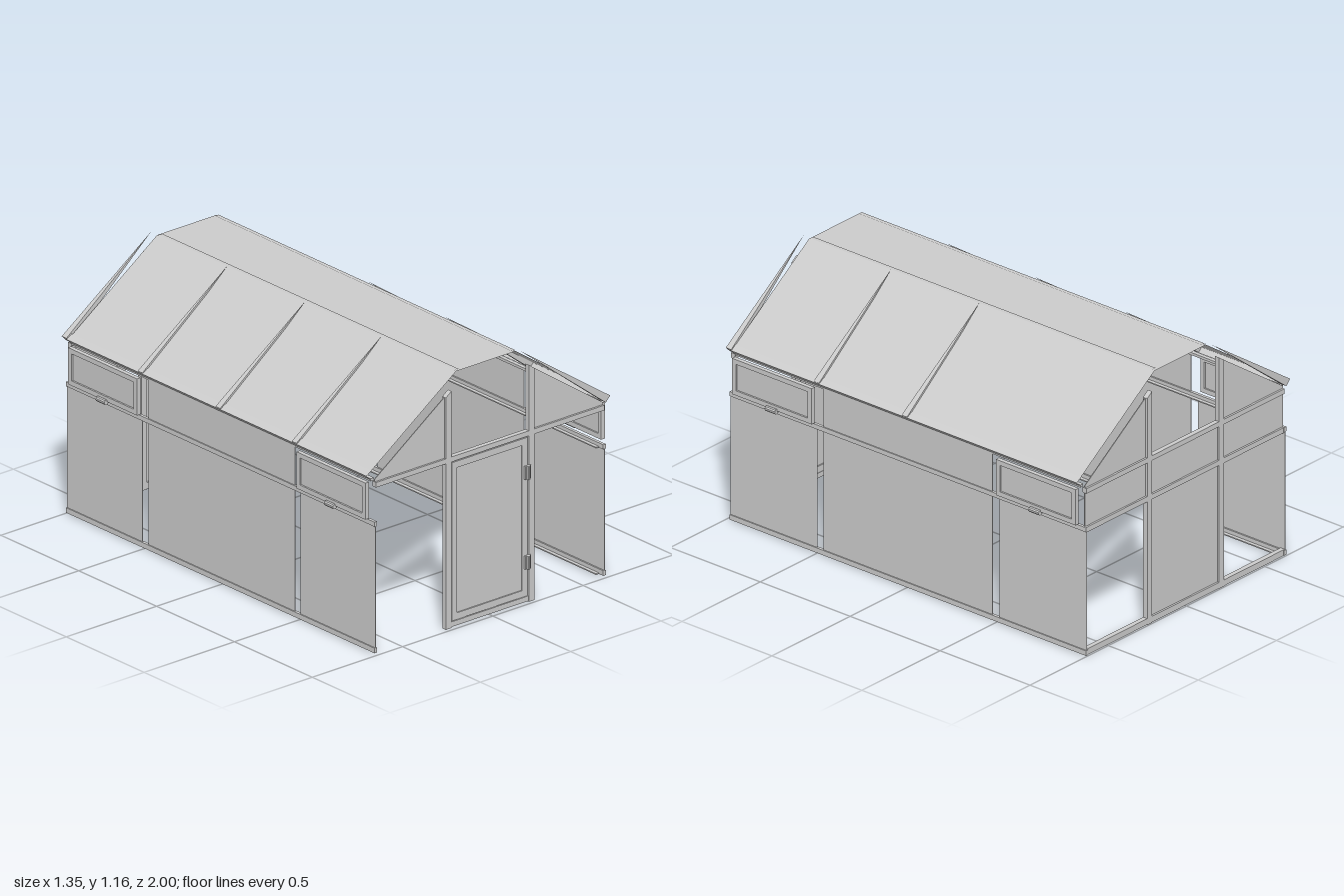
import * as THREE from 'three';

export function createModel() {
  const model = new THREE.Group();
  const mat = new THREE.MeshStandardMaterial({ color: 0xcccccc, flatShading: true, side: THREE.DoubleSide });

  const add = (name, geo, parent = model) => {
    const m = new THREE.Mesh(geo, mat);
    m.name = name;
    parent.add(m);
    return m;
  };
  // Box given by its limits on each axis
  const box = (name, x0, x1, y0, y1, z0, z1, parent) => {
    const g = new THREE.BoxGeometry(Math.abs(x1 - x0), y1 - y0, Math.abs(z1 - z0));
    g.translate((x0 + x1) / 2, (y0 + y1) / 2, (z0 + z1) / 2);
    return add(name, g, parent);
  };
  // Sheet swept along z from an open x,y outline
  const sheet = (name, pts, z0, z1) => {
    const pos = [], idx = [];
    pts.forEach(([x, y], i) => {
      pos.push(x, y, z0, x, y, z1);
      if (i) idx.push(2 * i - 2, 2 * i - 1, 2 * i, 2 * i - 1, 2 * i + 1, 2 * i);
    });
    const g = new THREE.BufferGeometry();
    g.setAttribute('position', new THREE.Float32BufferAttribute(pos, 3));
    g.setIndex(idx);
    g.computeVertexNormals();
    return add(name, g);
  };
  // Flat polygon in the x,y plane
  const plate = (name, pts, z, depth) => {
    const s = new THREE.Shape(pts.map(p => new THREE.Vector2(...p)));
    const g = new THREE.ExtrudeGeometry(s, { depth, bevelEnabled: false });
    g.translate(0, 0, z);
    return add(name, g);
  };
  // Rectangular frame with a hole, lying in u,v and extruded by depth
  const frame = (w, h, border, depth) => {
    const s = new THREE.Shape([[-w, -h], [w, -h], [w, h], [-w, h]].map(([a, b]) => new THREE.Vector2(a / 2, b / 2)));
    const a = w / 2 - border, b = h / 2 - border;
    s.holes.push(new THREE.Path([[-a, -b], [-a, b], [a, b], [a, -b]].map(p => new THREE.Vector2(...p))));
    const g = new THREE.ExtrudeGeometry(s, { depth, bevelEnabled: false });
    return g.translate(0, 0, -depth / 2);
  };

  // Gable ends: posts, triangular panels, top rail
  for (const [end, z0, z1] of [['front', 0.96, 0.983], ['back', -0.995, -0.972]]) {
    const zm = (z0 + z1) / 2;
    box(end + 'TopRail', -0.633, 0.633, 0.757, 0.78, z0, z1);
    for (const s of [-1, 1]) {
      plate(end + 'Post', [[s * 0.214, 0], [s * 0.245, 0], [s * 0.245, 1.058], [s * 0.214, 1.08]], z0, z1 - z0);
      plate(end + 'GablePanel', [[s * 0.245, 0.78], [s * 0.633, 0.78], [s * 0.633, 0.79], [s * 0.245, 1.058]], zm - 0.002, 0.004);
    }
  }

  // Back wall: rails, upper band, centre panel
  box('backMiddleRail', -0.633, 0.633, 0.576, 0.6, -0.995, -0.972);
  box('backBottomRail', -0.633, 0.633, 0.002, 0.03, -0.995, -0.972);
  box('backUpperPanel', -0.633, 0.633, 0.6, 0.757, -0.986, -0.982);
  box('backCentrePanel', -0.214, 0.214, 0.03, 0.576, -0.986, -0.982);

  // Door with frame, panel and hinges
  const door = new THREE.Group();
  door.name = 'door';
  model.add(door);
  add('doorFrame', frame(0.42, 0.722, 0.03, 0.02).translate(0, 0.39, 0.97), door);
  box('doorPanel', -0.18, 0.18, 0.055, 0.725, 0.966, 0.974, door);
  box('doorSill', -0.214, 0.214, 0.003, 0.026, 0.962, 0.98, door);
  for (const y of [0.185, 0.594]) {
    box('hingePlate', 0.19, 0.222, y - 0.03, y + 0.03, 0.979, 0.988, door);
    add('hingePin', new THREE.CylinderGeometry(0.009, 0.009, 0.06, 10).translate(0.206, y, 0.989), door);
  }

  for (const s of [-1, 1]) {
    // Side wall panels and rails
    const px = s * 0.634;
    for (const [z0, z1, top] of [[0.5, 0.983, 0.59], [-0.475, 0.467, 0.785], [-0.998, -0.513, 0.59]])
      box('sidePanel', px - 0.001, px + 0.001, 0.005, top, z0, z1);
    for (const [y0, y1] of [[0.003, 0.026], [0.58, 0.601]]) {
      box('sideRail', s * 0.626, s * 0.64, y0, y1, -0.998, 0.983);
      box('sideRailFlange', s * 0.61, s * 0.626, y0, y0 + 0.005, -0.965, 0.955);
    }
    box('sideTopRail', s * 0.62, s * 0.638, 0.778, 0.79, -0.965, 0.955);

    // Vent windows with handles
    for (const [z0, z1] of [[0.507, 0.95], [-0.96, -0.517]]) {
      const win = new THREE.Group();
      win.name = 'ventWindow';
      model.add(win);
      const zc = (z0 + z1) / 2;
      add('windowFrame', frame(z1 - z0, 0.167, 0.022, 0.02).rotateY(Math.PI / 2).translate(s * 0.653, 0.692, zc), win);
      box('windowPane', s * 0.65, s * 0.655, 0.63, 0.755, z0 + 0.022, z1 - 0.022, win);
      add('windowHandle', new THREE.CylinderGeometry(0.012, 0.012, 0.056, 10).rotateX(Math.PI / 2).translate(s * 0.665, 0.606, zc), win);
    }

    // Sloping roof, eave strip and ridge strip
    sheet('roofSlope', [[s * 0.165, 1.148], [s * 0.658, 0.809]], -0.965, 0.955);
    sheet('eaveStrip', [[s * 0.635, 0.828], [s * 0.665, 0.81], [s * 0.642, 0.788]], -0.968, 0.958);
    sheet('ridgeStrip', [[s * 0.146, 1.152], [s * 0.165, 1.152], [s * 0.184, 1.139]], -0.955, 0.95);

    // Tapered roof battens, wide at the eave and pointed at the ridge
    const battens = s > 0 ? [0.983, 0.495, 0.005] : [-0.998, -0.51, -0.01, 0.48];
    for (const z of battens) {
      const w = -s * 0.03;
      const g = new THREE.BufferGeometry();
      g.setAttribute('position', new THREE.Float32BufferAttribute([
        s * 0.168, 1.156, z,
        s * 0.665, 0.815, z, s * 0.64, 0.79, z,
        s * 0.665, 0.815, z + w, s * 0.64, 0.79, z + w], 3));
      g.setIndex([0, 1, 2, 0, 4, 3, 0, 3, 1, 0, 2, 4, 1, 3, 4, 1, 4, 2]);
      g.computeVertexNormals();
      add('roofBatten', g);
    }
  }

  // Flat top of the roof
  sheet('roofTop', [[-0.165, 1.148], [0.165, 1.148]], -0.965, 0.955);
  return model;
}
